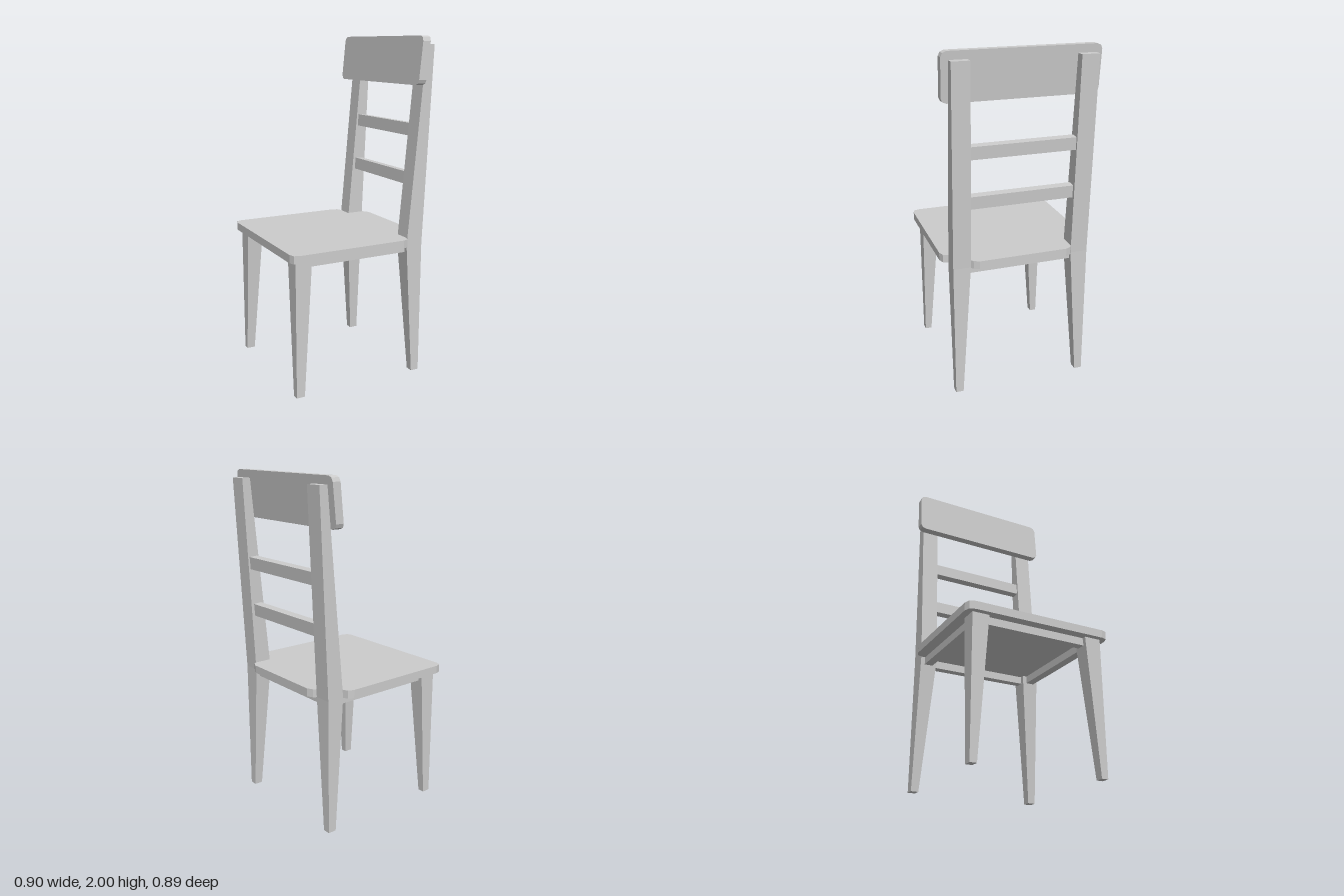
import * as THREE from 'three';

const material = new THREE.MeshStandardMaterial({ color: 0xcccccc, flatShading: true, side: THREE.DoubleSide });

// Solid through rectangular sections [y, x0, x1, z0, z1], listed from bottom to top
function loft(sections) {
  const rings = sections.map(([y, x0, x1, za, zb]) => {
    const z0 = Math.min(za, zb), z1 = Math.max(za, zb);
    return [[x0, y, z1], [x1, y, z1], [x1, y, z0], [x0, y, z0]];
  });
  const pos = [];
  const quad = (a, b, c, d) => pos.push(...a, ...b, ...c, ...a, ...c, ...d);
  for (let i = 0; i < rings.length - 1; i++) {
    const lo = rings[i], hi = rings[i + 1];
    for (let k = 0; k < 4; k++) {
      const n = (k + 1) % 4;
      quad(lo[k], lo[n], hi[n], hi[k]);
    }
  }
  const [a, b, c, d] = rings[0];
  quad(d, c, b, a);
  quad(...rings[rings.length - 1]);
  const geo = new THREE.BufferGeometry();
  geo.setAttribute('position', new THREE.Float32BufferAttribute(pos, 3));
  geo.computeVertexNormals();
  return geo;
}

const extrude = (points, depth) => new THREE.ExtrudeGeometry(
  new THREE.Shape(points.map(([x, y]) => new THREE.Vector2(x, y))),
  { depth, bevelEnabled: false });

export function createModel() {
  const chair = new THREE.Group();
  chair.name = 'chair';
  const add = (name, geo) => {
    const mesh = new THREE.Mesh(geo, material);
    mesh.name = name;
    chair.add(mesh);
    return mesh;
  };

  // Seat board with clipped corners and a tongue between the back posts
  const half = [[-0.453, 0.4], [-0.442, 0.433], [-0.407, 0.445], [0.25, 0.445], [0.284, 0.433],
    [0.296, 0.4], [0.296, 0.303], [0.405, 0.303], [0.419, 0.292], [0.435, 0.26]];
  const outline = [...half, ...half.map(([x, z]) => [x, -z]).reverse()];
  add('seat', extrude(outline, 0.047).rotateX(Math.PI / 2).translate(0, 0.849, 0));

  for (const s of [1, -1]) {
    const side = s > 0 ? 'Left' : 'Right';
    // Tapered front leg
    add('frontLeg' + side, loft([
      [0, -0.42, -0.37, s * 0.365, s * 0.405],
      [0.803, -0.42, -0.32, s * 0.305, s * 0.405]]));
    // Back leg running up into the leaning post
    add('backPost' + side, loft([
      [0, 0.35, 0.4, s * 0.36, s * 0.405],
      [0.803, 0.296, 0.4, s * 0.303, s * 0.405],
      [1.955, 0.4, 0.451, s * 0.303, s * 0.405]]));
    // Side rail under the seat
    add('sideRail' + side, loft([0.757, 0.803].map(y => [y, -0.325, 0.303, s * 0.33, s * 0.38])));
  }

  // Front and back rails under the seat
  add('frontRail', loft([0.757, 0.803].map(y => [y, -0.395, -0.345, -0.31, 0.31])));
  add('backRail', loft([0.757, 0.803].map(y => [y, 0.325, 0.375, -0.31, 0.31])));

  // Two cross slats leaning with the posts
  for (const [y, x] of [[1.183, 0.373], [1.468, 0.393]]) {
    const slat = add('backSlat', new THREE.BoxGeometry(0.05, 0.073, 0.612));
    slat.position.set(x, y, 0);
    slat.rotation.z = -0.07;
  }

  // Leaning head board with rounded corners
  const w = 0.443, lo = 1.73, hi = 2, r = 0.03, q = 0.009;
  const right = [[w - r, lo], [w - q, lo + q], [w, lo + r], [w, hi - r], [w - q, hi - q], [w - r, hi]];
  const board = extrude([...right, ...right.map(([x, y]) => [-x, y]).reverse()], 0.05)
    .rotateY(Math.PI / 2).translate(0.323, 0, 0);
  const p = board.attributes.position;
  for (let i = 0; i < p.count; i++) p.setX(i, p.getX(i) + (p.getY(i) - lo) * 0.1);
  board.computeVertexNormals();
  add('headBoard', board);

  return chair;
}
